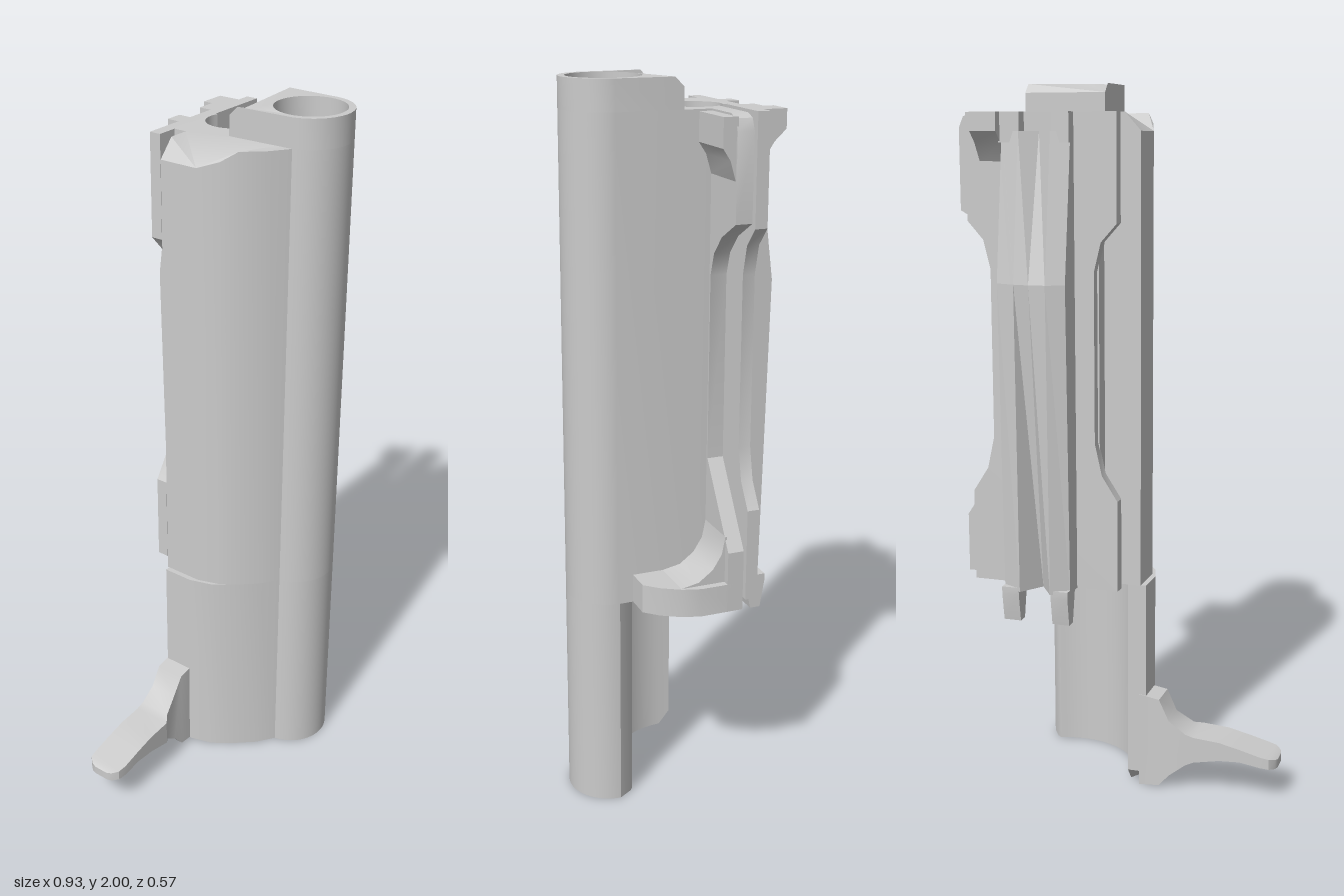
import * as THREE from 'three';
import { toCreasedNormals } from 'three/addons/utils/BufferGeometryUtils.js';

const mat = new THREE.MeshStandardMaterial({ color: 0xcccccc, side: THREE.DoubleSide });

// points on an arc in plan (x, z)
function arc(cx, cz, r, a0, a1, n = 24) {
  return Array.from({ length: n + 1 }, (_, i) => {
    const a = a0 + (a1 - a0) * i / n;
    return [cx + r * Math.cos(a), cz + r * Math.sin(a)];
  });
}

function extrude(pts, depth, hole) {
  const v = p => new THREE.Vector2(p[0], p[1]);
  const shape = new THREE.Shape(pts.map(v));
  if (hole) shape.holes.push(new THREE.Path(hole.map(v)));
  return new THREE.ExtrudeGeometry(shape, { depth, bevelEnabled: false });
}

// plan outline (x, z) raised from y0 to y1
function exY(pts, y0, y1, hole) {
  const flip = list => list && list.map(([x, z]) => [x, -z]);
  return extrude(flip(pts), y1 - y0, flip(hole)).rotateX(-Math.PI / 2).translate(0, y0, 0);
}
// side outline (z, y) run from x0 to x1
const exX = (pts, x0, x1) =>
  extrude(pts.map(([z, y]) => [-z, y]), x1 - x0).rotateY(Math.PI / 2).translate(x0, 0, 0);
// front outline (x, y) run from z0 to z1
const exZ = (pts, z0, z1) => extrude(pts, z1 - z0).translate(0, 0, z0);

// skin through closed rings of equal length, capped at both ends
function loft(rings) {
  const n = rings[0].length, last = (rings.length - 1) * n, idx = [];
  for (let i = 0; i < rings.length - 1; i++)
    for (let j = 0; j < n; j++) {
      const a = i * n + j, b = i * n + (j + 1) % n;
      idx.push(a, b, a + n, b, b + n, a + n);
    }
  for (let j = 1; j < n - 1; j++) idx.push(0, j + 1, j, last, last + j, last + j + 1);
  const g = new THREE.BufferGeometry();
  g.setAttribute('position', new THREE.Float32BufferAttribute(rings.flat(2), 3));
  g.setIndex(idx);
  return g;
}

// lower vertices by a rule, for rounded top corners
function drop(g, rule) {
  const p = g.attributes.position;
  for (let i = 0; i < p.count; i++) p.setY(i, p.getY(i) - rule(p.getX(i), p.getY(i), p.getZ(i)));
  return g;
}

export function createModel() {
  const group = new THREE.Group();
  const add = (name, g, crease = 0.5) => {
    g.deleteAttribute('uv');
    g.deleteAttribute('normal');
    const m = new THREE.Mesh(toCreasedNormals(g, crease), mat);
    m.name = name;
    group.add(m);
  };

  const tubeFront = arc(0.195, 0.17, 0.115, 2.95, 0.1);
  const tubeHole = arc(0.195, 0.17, 0.097, 0, Math.PI * 2, 40).slice(0, -1);

  // upper body: front tube, left shoulder and open rear bore in one section
  const upper = [
    ...tubeFront, [0.31, -0.12], ...arc(0.193, -0.077, 0.073, -0.63, 5.06, 36),
    [0.22, -0.16], [0.04, -0.16], [0.04, -0.115], [-0.02, -0.115], [-0.065, -0.115],
    [-0.065, 0], [-0.045, 0.06], [-0.02, 0.1], [0.03, 0.155],
  ];
  add('upperBody', drop(exY(upper, 0.61, 1.92, tubeHole),
    (x, y) => (y > 1.9 && x < -0.021 ? (-0.02 - x) * 1.1 : 0)));

  // tube mouth standing above the body
  const mouth = [...tubeFront, [0.31, 0.025], [0.31, 0], [0.075, 0], [0.075, 0.025]];
  add('tubeMouth', drop(exY(mouth, 1.92, 2, tubeHole), (x, y, z) => (y > 1.99 && z < 0.01 ? 0.025 : 0)));

  // lower body: tube front with a concave shell open to the rear and right
  const lower = [
    ...tubeFront, [0.31, 0.175], [0.285, 0.135], ...arc(0.193, -0.077, 0.218, 1.2, Math.PI),
    [-0.025, -0.11], [-0.08, -0.11], [-0.08, -0.02], [-0.06, 0.045], [-0.02, 0.1], [0.03, 0.155],
  ];
  add('lowerShell', drop(exY(lower, 0, 0.61), (x, y, z) => (y < 0.01 && z < -0.1 ? -0.04 : 0)));

  // right side plate, narrow in the middle and wide at both ends
  add('sidePlate', exZ([
    [0.3, 1.92], [0.42, 1.92], [0.447, 1.91], [0.46, 1.88], [0.46, 1.655], [0.38, 1.61],
    [0.335, 1.56], [0.316, 1.5], [0.316, 1], [0.46, 0.78], [0.46, 0.61], [0.3, 0.61],
  ], -0.12, -0.075));
  add('topLip', exX([[-0.08, 1.915], [-0.04, 1.915], [-0.04, 1.84], [-0.06, 1.81], [-0.075, 1.76], [-0.08, 1.75]], 0.3, 0.455));
  add('lowerLedge', exY([
    [0.26, 0.137], [0.38, 0.137], [0.415, 0.1], [0.445, 0.05], [0.46, 0], [0.46, -0.115], [0.26, -0.115],
  ], 0.61, 0.69));
  add('ledgeFillet', exX([
    [0.05, 0.69], [0, 0.7], [-0.04, 0.73], [-0.065, 0.77], [-0.075, 0.82], [-0.08, 0.82], [-0.08, 0.69],
  ], 0.3, 0.44));

  // rear plate with four wings
  const wing = [[0, 1.92], [0, 1.63], [0.045, 1.58], [0.065, 1.5], [0.065, 1.03], [0.045, 0.94], [0, 0.87], [0, 0.61]];
  add('rearPlate', exZ([
    ...wing.map(([d, y]) => [-0.02 + d, y]),
    ...wing.slice().reverse().map(([d, y]) => [0.41 - d, y]),
  ], -0.187, -0.153));

  // faceted rear cover: grooved at both ends, peaked between
  const rows = [
    [0.61, -0.245, -0.272, -0.205],
    [1.47, -0.262, -0.281, -0.287],
    [1.87, -0.21, -0.23, -0.192],
  ];
  add('rearCover', loft(rows.map(([y, edge, shoulder, mid]) => [
    [0.195, y, -0.18], [0.295, y, -0.18], [0.295, y, edge], [0.24, y, shoulder],
    [0.195, y, mid], [0.15, y, shoulder], [0.1, y, edge], [0.1, y, -0.18],
  ])), 0.05);
  for (const x of [0.1, 0.245])
    add('coverProng', exX([[-0.205, 0.62], [-0.225, 0.52], [-0.255, 0.52], [-0.268, 0.6], [-0.268, 0.62]], x, x + 0.05));

  // stop blocks at the top of the cover
  add('topStop', exX([[-0.18, 1.92], [-0.252, 1.92], [-0.252, 1.87], [-0.22, 1.84], [-0.18, 1.78]], 0.295, 0.37));
  for (const [x, w] of [[0.1, 0.05], [0.24, 0.06]])
    add('railEnd', exX([[-0.18, 1.92], [-0.224, 1.92], [-0.224, 1.84], [-0.18, 1.84]], x, x + w));

  // curved thumb lever: x, top, bottom, rear z, front z
  const lever = [
    [-0.06, 0.28, 0, -0.112, -0.025], [-0.12, 0.27, 0.005, -0.112, -0.025],
    [-0.15, 0.21, 0.04, -0.115, -0.03], [-0.2, 0.175, 0.08, -0.115, -0.018],
    [-0.225, 0.168, 0.092, -0.115, 0], [-0.3, 0.163, 0.108, -0.115, 0],
    [-0.36, 0.15, 0.112, -0.115, 0], [-0.42, 0.135, 0.103, -0.115, 0],
    [-0.445, 0.13, 0.1, -0.112, -0.004], [-0.46, 0.125, 0.097, -0.095, -0.02],
    [-0.465, 0.122, 0.097, -0.08, -0.035],
  ];
  add('thumbLever', loft(lever.map(([x, t, b, r, f]) => [[x, b, r], [x, b, f], [x, t, f], [x, t, r]])));

  return group;
}
